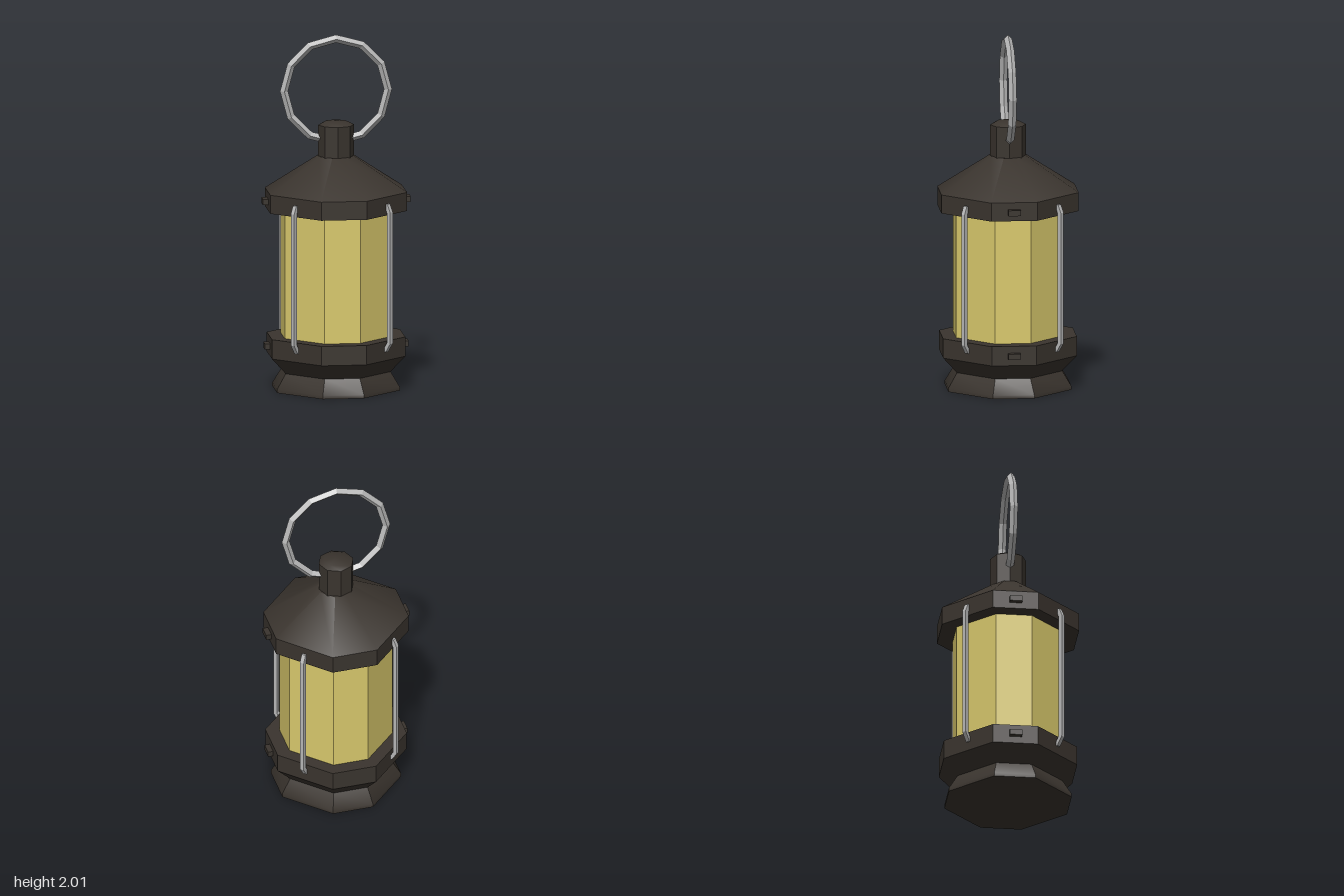
import * as THREE from 'three';
import { toCreasedNormals } from 'three/addons/utils/BufferGeometryUtils.js';

const DARK = 0x3a342e, GLASS = 0xd9c96c, METAL = 0xb8b8b8;

// Corners of the chamfered square plan, for a half width of 1
const C = 0.335;
const PLAN = [[C, 1], [1, C], [1, -C], [C, -1], [-C, -1], [-1, -C], [-1, C], [-C, 1]];

// Turned body with a [halfWidth, y] profile; the plan is a regular or chamfered octagon
function octagonal(profile, chamfered = true) {
  const geo = new THREE.LatheGeometry(profile.map(([r, y]) => new THREE.Vector2(r, y)), 8);
  if (chamfered) {
    const pos = geo.attributes.position;
    for (let i = 0; i < pos.count; i++) {
      const [px, pz] = PLAN[Math.floor(i / profile.length) % 8];
      const r = profile[i % profile.length][0];
      pos.setX(i, px * r);
      pos.setZ(i, pz * r);
    }
  }
  return toCreasedNormals(geo, THREE.MathUtils.degToRad(35));
}

export function createModel() {
  const group = new THREE.Group();
  const materials = {};
  const add = (name, geometry, color, flatShading = false) => {
    const key = `${color}-${flatShading}`;
    materials[key] ??= new THREE.MeshStandardMaterial({ color, flatShading });
    const mesh = new THREE.Mesh(geometry, materials[key]);
    mesh.name = name;
    group.add(mesh);
    return mesh;
  };

  // Flared foot, waist and lower collar
  add('base', octagonal([
    [0, 0], [0.345, 0], [0.345, 0.02], [0.295, 0.105], [0.375, 0.195], [0.375, 0.305], [0, 0.305],
  ]), DARK);

  // Glass body
  add('glass', octagonal([[0.3, 0.3], [0.3, 1.03]]), GLASS);

  // Upper collar and sloping roof
  add('roof', octagonal([
    [0, 1.02], [0.385, 1.02], [0.385, 1.125], [0.1, 1.32], [0, 1.32],
  ]), DARK);

  // Chimney with a shallow domed top
  add('chimney', octagonal([[0.1, 1.28], [0.1, 1.495], [0.07, 1.512], [0, 1.518]], false), DARK);

  // Carrying ring
  add('ring', new THREE.TorusGeometry(0.2925, 0.0225, 4, 12), METAL, true).position.y = 1.69;

  // Guard rods on the four diagonals, bent inward at both ends
  const rodShape = new THREE.Shape([
    [0.362, 0.245], [0.394, 0.295], [0.394, 1.04], [0.374, 1.085],
    [0.352, 1.085], [0.37, 1.035], [0.37, 0.3], [0.34, 0.245],
  ].map(([r, y]) => new THREE.Vector2(r, y)));
  const rodGeo = new THREE.ExtrudeGeometry(rodShape, { depth: 0.024, bevelEnabled: false });
  rodGeo.translate(0, 0, -0.012);
  for (let i = 0; i < 4; i++) {
    add('guardRod', rodGeo, METAL, true).rotation.y = Math.PI / 4 + i * Math.PI / 2;
  }

  // Small lugs on the left and right of both collars
  for (const side of [-1, 1]) {
    for (const [name, y, reach] of [['lowerLug', 0.25, 0.405], ['upperLug', 1.07, 0.416]]) {
      add(name, new THREE.BoxGeometry(0.06, 0.032, 0.07), DARK, true)
        .position.set(side * (reach - 0.03), y, 0);
    }
  }

  return group;
}
